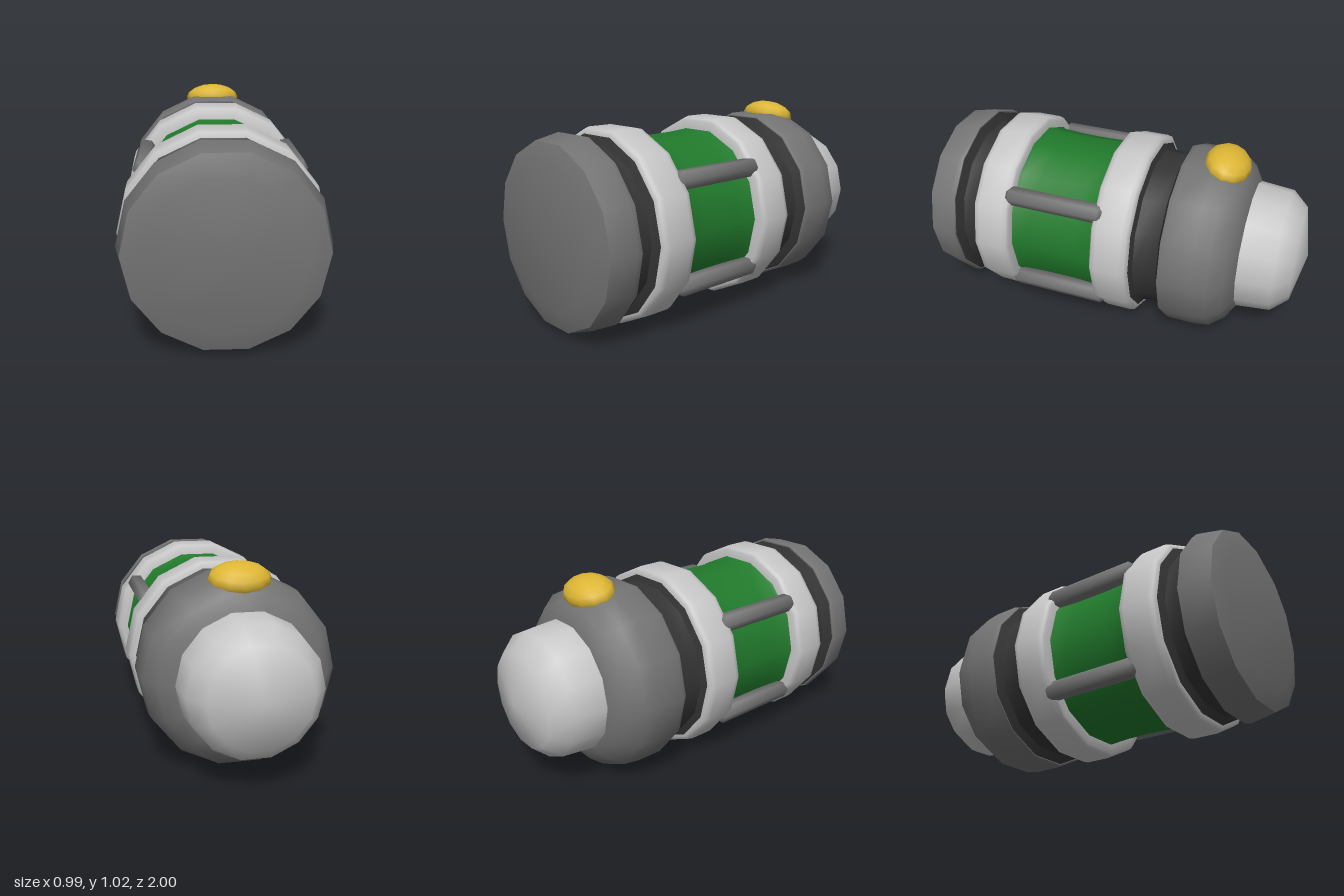
import * as THREE from 'three';
import { toCreasedNormals } from 'three/addons/utils/BufferGeometryUtils.js';

const SIDES = 14;
const CENTER_Y = 0.4826;

function material(name, color) {
  const m = new THREE.MeshStandardMaterial({ color });
  m.name = name;
  return m;
}

// Turned part along z; profile is [radius, z] from back to front
function turned(profile, sides = SIDES, start = Math.PI / 2) {
  const points = profile.map(([r, z]) => new THREE.Vector2(r, z));
  const g = new THREE.LatheGeometry(points, sides, start);
  g.rotateX(Math.PI / 2);
  return toCreasedNormals(g, 0.85);
}

export function createModel() {
  const group = new THREE.Group();
  const grey = material('mid grey', 0x737373);
  const light = material('light grey', 0xc6c6c6);
  const dark = material('charcoal', 0x343434);
  const green = material('green', 0x217a2c);
  const gold = material('gold', 0xdcb534);

  function add(name, geometry, mat, x = 0, y = CENTER_Y, z = 0) {
    const mesh = new THREE.Mesh(geometry, mat);
    mesh.name = name;
    mesh.position.set(x, y, z);
    group.add(mesh);
    return mesh;
  }

  // Rounded knob at the back
  add('backKnob', turned([
    [0, -1], [0.247, -0.95], [0.322, -0.865], [0.338, -0.69], [0.338, -0.6], [0, -0.6],
  ]), light);

  // Domed rear housing
  add('rearHousing', turned([
    [0, -0.69], [0.34, -0.69], [0.415, -0.645], [0.474, -0.57], [0.485, -0.49],
    [0.485, -0.35], [0.475, -0.325], [0.4, -0.325],
  ]), grey);

  // Recessed grooves
  add('rearGroove', turned([
    [0.475, -0.327], [0.424, -0.305], [0.414, -0.24], [0.424, -0.18], [0.468, -0.163],
  ]), dark);
  add('frontGroove', turned([
    [0.468, 0.695], [0.422, 0.715], [0.418, 0.755], [0.422, 0.79], [0.478, 0.815],
  ]), dark);

  // Pale collars on both sides of the window; mirrored about its middle
  const collar = [
    [0.4, 0.495], [0.475, 0.495], [0.488, 0.505], [0.495, 0.53],
    [0.495, 0.66], [0.488, 0.685], [0.468, 0.697], [0.4, 0.697],
  ];
  add('frontCollar', turned(collar), light);
  add('rearCollar', turned(collar.map(([r, z]) => [r, 0.53 - z]).reverse()), light);

  // Green window band, flared slightly at its ends
  add('window', turned([
    [0.4, 0.015], [0.437, 0.016], [0.427, 0.04], [0.42, 0.15], [0.418, 0.26],
    [0.42, 0.37], [0.427, 0.48], [0.437, 0.499], [0.4, 0.5],
  ]), green);

  // Front cap
  add('frontCap', turned([
    [0.4, 0.812], [0.478, 0.812], [0.484, 0.84], [0.457, 0.968], [0.36, 1], [0, 1],
  ]), grey);

  // Four guard rods
  const rod = turned([
    [0, -0.265], [0.032, -0.265], [0.05, -0.245], [0.05, 0.245], [0.032, 0.265], [0, 0.265],
  ], 6);
  const rodSmooth = toCreasedNormals(rod, 1.2);
  for (const sx of [-1, 1]) {
    for (const sy of [-1, 1]) {
      add('guardRod', rodSmooth, grey, sx * 0.373, CENTER_Y + sy * 0.262, 0.257);
    }
  }

  // Gold button on top of the housing
  const button = add('button', new THREE.SphereGeometry(1, 12, 8), gold, 0, 0.94, -0.54);
  button.scale.set(0.155, 0.078, 0.12);
  button.rotation.x = -0.27;

  return group;
}
